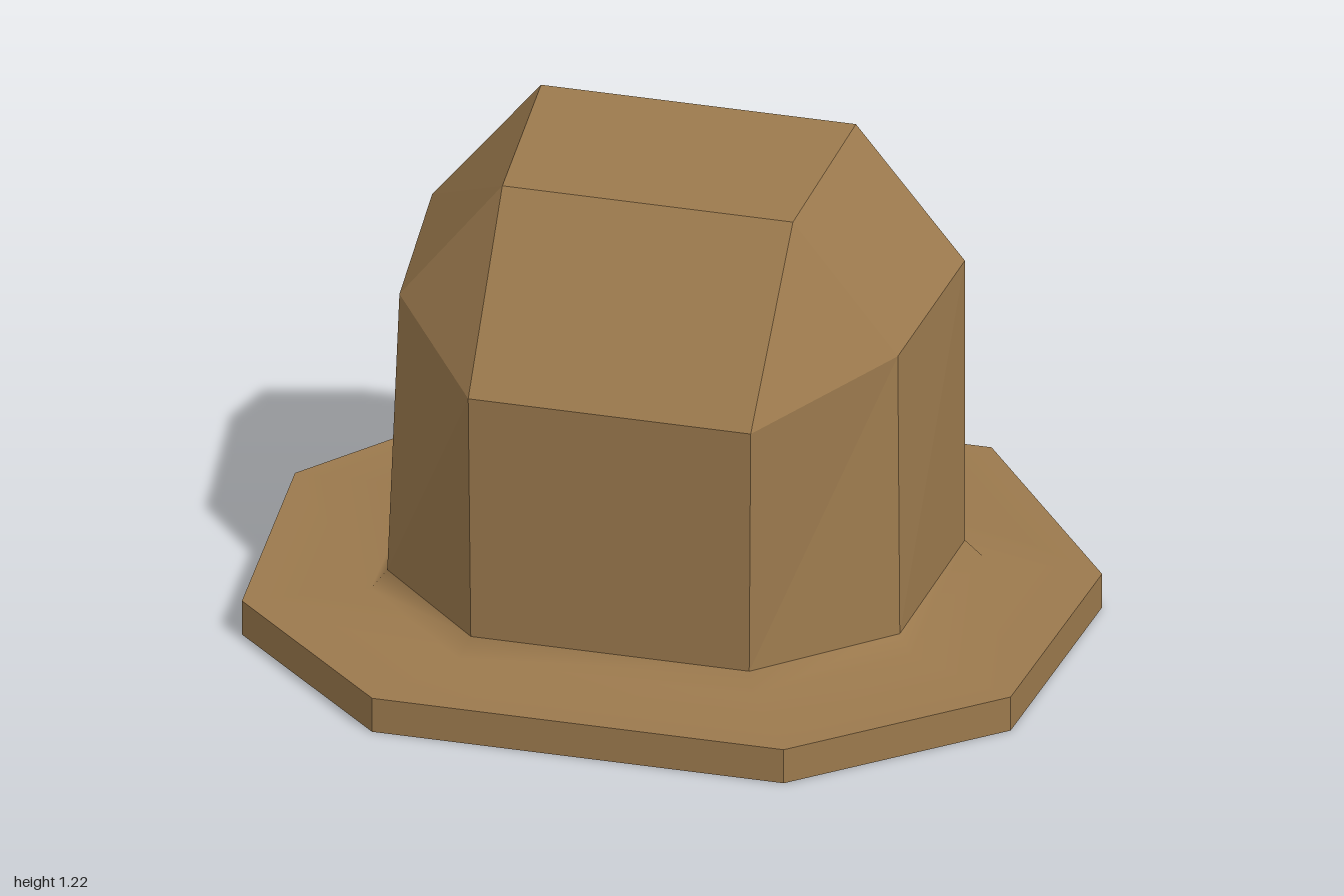
import * as THREE from 'three';

// Eight-sided ring from its four left-side [x, y, z] corners, front to back, mirrored to the right.
// skew nudges the right front-side corner slightly inward.
function ring(corners, skew = 0) {
  const left = corners.map(([x, y, z]) => new THREE.Vector3(x, y, z));
  const right = corners.map(([x, y, z], i) => new THREE.Vector3(-x + (i === 1 ? skew : 0), y, z)).reverse();
  return [...left, ...right];
}

const level = (y, corners) => corners.map(([x, z]) => [x, y, z]);

// Skin consecutive rings, optionally closing the first and last one.
function loft(rings, { capStart = false, capEnd = false, smooth = false } = {}) {
  const n = 8;
  const points = rings.flat();
  const index = [];
  const tri = (a, b, c) => {
    const [p, q, r] = [points[a], points[b], points[c]];
    const area = q.clone().sub(p).cross(r.clone().sub(p)).length();
    if (area > 1e-6) index.push(a, b, c);
  };
  for (let r = 0; r < rings.length - 1; r++) {
    for (let i = 0; i < n; i++) {
      const j = (i + 1) % n;
      const a = r * n + i, b = r * n + j;
      tri(a, b, b + n);
      tri(a, b + n, a + n);
    }
  }
  const last = (rings.length - 1) * n;
  for (let i = 1; i < n - 1; i++) {
    if (capStart) tri(0, i + 1, i);
    if (capEnd) tri(last, last + i, last + i + 1);
  }
  let geometry = new THREE.BufferGeometry().setFromPoints(points);
  geometry.setIndex(index);
  if (!smooth) geometry = geometry.toNonIndexed();
  geometry.computeVertexNormals();
  return geometry;
}

export function createModel() {
  const group = new THREE.Group();
  const felt = new THREE.MeshStandardMaterial({ color: 0x9b794d });
  felt.name = 'brownFelt';
  const add = (name, geometry) => {
    const mesh = new THREE.Mesh(geometry, felt);
    mesh.name = name;
    group.add(mesh);
  };

  const brimOutline = [[0.51, 0.83], [0.96, 0.42], [1, -0.26], [0.57, -0.83]];
  const opening = [[0.21, 0.47], [0.57, 0.19], [0.58, -0.27], [0.21, -0.55]];
  const flareFoot = [[0.365, 0.575], [0.675, 0.275], [0.7, -0.275], [0.4, -0.57]];
  const crownFoot = [[0.345, 0.54], [0.64, 0.255], [0.66, -0.26], [0.38, -0.54]];
  const brimBottom = ring(level(0, brimOutline), 0.015);
  const brimTop = ring(level(0.09, brimOutline), 0.015);
  const crownBase = ring(level(0.135, crownFoot), 0.01);

  // Brim edge, underside and shallow head opening
  add('brimEdge', loft([brimBottom, brimTop]));
  add('brimUnderside', loft([ring(level(0, opening)), brimBottom]));
  add('headOpening', loft([ring(level(0.085, opening)), ring(level(0, opening))], { capStart: true }));

  // Brim top flowing softly into the foot of the crown
  add('brimTop', loft([brimTop, ring(level(0.09, flareFoot), 0.01), crownBase], { smooth: true }));

  // Faceted crown: upright walls, then a roof whose front and back corners meet in pairs
  const shoulder = ring([[0.35, 0.775, 0.545], [0.62, 0.85, 0.2], [0.66, 0.885, -0.26], [0.385, 0.885, -0.475]], 0.005);
  const frontPeak = [0.36, 1.175, 0.2];
  const backPeak = [0.39, 1.215, -0.26];
  add('crown', loft([crownBase, shoulder, ring([frontPeak, frontPeak, backPeak, backPeak])], { capEnd: true }));

  return group;
}
